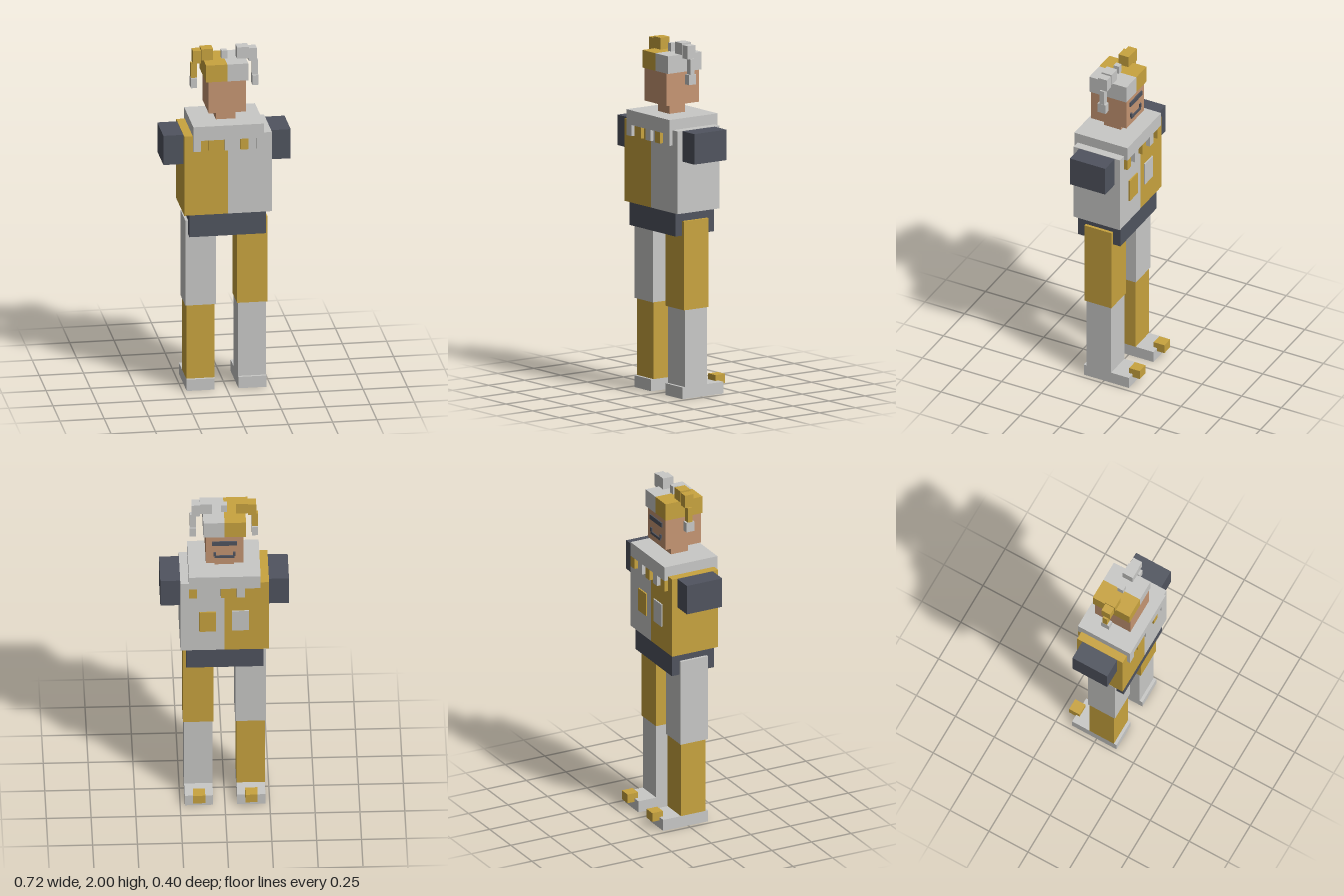
import * as THREE from 'three';

const paint = (name, color) => {
  const m = new THREE.MeshStandardMaterial({ color });
  m.name = name;
  return m;
};

export function createModel() {
  const gold = paint('gold', 0xc9a43f);
  const grey = paint('light grey', 0xc9c9c7);
  const slate = paint('dark slate', 0x50545f);
  const skin = paint('skin', 0xc69673);

  const model = new THREE.Group();
  model.name = 'jester';

  // Box given by its limits on each axis
  const box = (name, mat, [x0, x1], [y0, y1], [z0, z1]) => {
    const mesh = new THREE.Mesh(new THREE.BoxGeometry(x1 - x0, y1 - y0, z1 - z0), mat);
    mesh.position.set((x0 + x1) / 2, (y0 + y1) / 2, (z0 + z1) / 2);
    mesh.name = name;
    model.add(mesh);
    return mesh;
  };

  // Legs: counterchanged colours, shoes with a bell on each toe
  for (const [side, x, upper, lower] of [['left', 0.145, gold, grey], ['right', -0.147, grey, gold]]) {
    box(side + 'Shoe', grey, [x - 0.079, x + 0.079], [0, 0.067], [-0.157, 0.127]);
    box(side + 'ToeBell', gold, [x - 0.034, x + 0.034], [0.047, 0.1], [-0.202, -0.135]);
    box(side + 'LowerLeg', lower, [x - 0.079, x + 0.079], [0.067, 0.505], [-0.045, 0.11]);
    box(side + 'UpperLeg', upper, [x - 0.086, x + 0.086], [0.505, 1.01], [-0.05, 0.121]);
  }

  // Hips and two-tone torso
  box('hips', slate, [-0.217, 0.214], [0.927, 1.06], [-0.098, 0.168]);
  box('torsoRight', gold, [-0.248, 0], [1.06, 1.53], [-0.112, 0.179]);
  box('torsoLeft', grey, [0, 0.247], [1.06, 1.53], [-0.112, 0.179]);

  // Arm stubs
  box('rightArm', slate, [-0.36, -0.248], [1.355, 1.528], [-0.079, 0.144]);
  box('leftArm', slate, [0.247, 0.358], [1.355, 1.528], [-0.079, 0.144]);

  // Patches on the -z side of the torso
  box('patchLeft', gold, [0.048, 0.142], [1.195, 1.33], [-0.12, -0.112]);
  box('patchRight', grey, [-0.135, -0.04], [1.2, 1.335], [-0.12, -0.112]);

  // Collar with hanging tabs on both faces
  box('collar', grey, [-0.2, 0.2], [1.507, 1.59], [-0.135, 0.2]);
  const tab = 0.4 / 9;
  for (let i = 0; i < 5; i++) {
    const x = -0.2 + 2 * i * tab;
    const odd = i % 2 === 1;
    box('collarTabFront', odd ? gold : grey, [x, x + tab], [1.443, 1.507], [0.179, 0.2]);
    box('collarTabBack', odd ? grey : gold, [x, x + tab], [1.443, 1.507], [-0.135, -0.112]);
  }

  // Neck and head
  box('neck', skin, [-0.056, 0.054], [1.59, 1.648], [-0.017, 0.09]);
  box('head', skin, [-0.105, 0.104], [1.648, 1.835], [-0.078, 0.147]);

  // Face on the -z side: eye bar and smile
  const face = [-0.086, -0.078];
  box('eyeBar', slate, [-0.07, 0.07], [1.773, 1.8], face);
  box('mouth', slate, [-0.055, 0.055], [1.687, 1.701], face);
  for (const s of [-1, 1]) {
    box('mouthCorner', slate, [s * 0.055 - 0.007, s * 0.055 + 0.007], [1.701, 1.724], face);
  }

  // Two-tone cap with a small knob
  box('capRight', gold, [-0.12, 0], [1.833, 1.933], [-0.085, 0.149]);
  box('capLeft', grey, [0, 0.118], [1.833, 1.933], [-0.085, 0.149]);
  box('capKnob', grey, [-0.017, 0.015], [1.933, 1.98], [0.016, 0.05]);

  // Drooping cap horns, stepping outwards and down to a tip
  for (const [side, s, mat] of [['left', 1, grey], ['right', -1, gold]]) {
    const span = (a, b) => (s > 0 ? [a, b] : [-b, -a]);
    box(side + 'HornBase', mat, span(0.068, 0.134), [1.933, 2], [0, 0.064]);
    box(side + 'HornBend', mat, span(0.134, 0.18), [1.915, 1.99], [0.005, 0.06]);
    box(side + 'HornStrand', mat, span(0.156, 0.19), [1.825, 1.915], [0.018, 0.046]);
    box(side + 'HornTip', grey, span(0.156, 0.191), [1.77, 1.827], [0.008, 0.058]);
  }

  return model;
}
